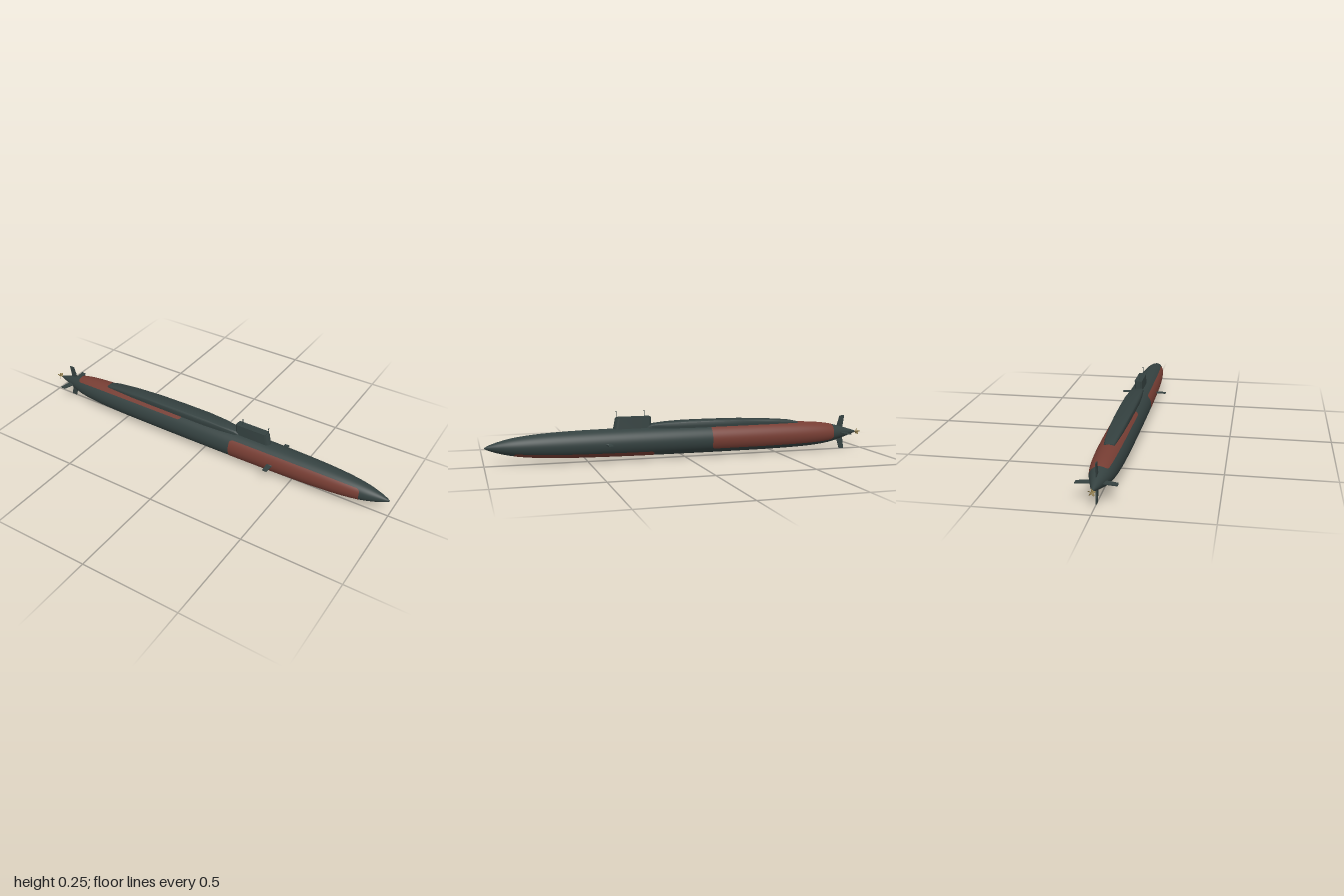
import * as THREE from 'three';
import { toCreasedNormals } from 'three/addons/utils/BufferGeometryUtils.js';

const AXIS = 0.09; // height of the hull centre line

const paint = (name, color, side = THREE.FrontSide) => {
  const m = new THREE.MeshStandardMaterial({ color, side });
  m.name = name;
  return m;
};

// Skin over rows of [x, y, z] points; rows run along +x, columns from +z over the top
function loft(rows, closed) {
  const n = rows[0].length, cols = closed ? n : n - 1, index = [];
  for (let i = 0; i < rows.length - 1; i++) {
    for (let j = 0; j < cols; j++) {
      const k = (j + 1) % n;
      const a = i * n + j, b = i * n + k, c = a + n, d = b + n;
      index.push(a, c, b, b, c, d);
    }
  }
  const g = new THREE.BufferGeometry();
  g.setAttribute('position', new THREE.Float32BufferAttribute(rows.flat(2), 3));
  g.setIndex(index);
  g.computeVertexNormals();
  return g;
}

// Hull outline: station and radius
const outline = new THREE.SplineCurve([
  [-0.965, 0.004], [-0.9, 0.025], [-0.8, 0.051], [-0.68, 0.064], [-0.5, 0.07], [-0.25, 0.072],
  [0.1, 0.072], [0.4, 0.0695], [0.6, 0.065], [0.75, 0.057], [0.86, 0.044], [0.93, 0.028],
  [0.975, 0.013], [0.993, 0.004], [0.997, 0],
].map(([x, r]) => new THREE.Vector2(x, r))).getPoints(140);

function radiusAt(x) {
  const i = Math.max(1, outline.findIndex((p) => p.x >= x));
  const a = outline[i - 1], b = outline[i];
  return a.y + (b.y - a.y) * (x - a.x) / (b.x - a.x);
}

const ringPoint = (x, r, a) => [x, AXIS + r * Math.sin(a), r * Math.cos(a)];

function hullGeometry() {
  const rows = outline.map((p) =>
    Array.from({ length: 64 }, (_, j) => ringPoint(p.x, Math.max(p.y, 0), j / 64 * Math.PI * 2)));
  return loft(rows, true);
}

// Painted area lying on the hull, with rounded corners; angles in degrees from +z upward
function patchGeometry(x0, x1, deg0, deg1) {
  const rows = [], corner = 0.018;
  for (let i = 0; i <= 70; i++) {
    const x = x0 + (x1 - x0) * (1 - Math.cos(Math.PI * i / 70)) / 2;
    const r = radiusAt(x) + 0.0007;
    const d = Math.max(0, corner - Math.min(x - x0, x1 - x));
    const trim = (corner - Math.sqrt(Math.max(0, corner * corner - d * d))) / r;
    const a0 = THREE.MathUtils.degToRad(deg0) + trim;
    const a1 = THREE.MathUtils.degToRad(deg1) - trim;
    rows.push(Array.from({ length: 41 }, (_, j) => ringPoint(x, r, a0 + (a1 - a0) * j / 40)));
  }
  return loft(rows, false);
}

// Raised deck casing: station, half width, top height
function casingGeometry() {
  const rows = [
    [-0.62, 0.024, 0.159], [-0.57, 0.029, 0.169], [-0.45, 0.035, 0.178], [-0.3, 0.038, 0.185],
    [-0.15, 0.039, 0.187], [0, 0.039, 0.187], [0.1, 0.035, 0.183], [0.18, 0.028, 0.176],
    [0.2, 0.021, 0.165],
  ].map(([x, w, top]) => {
    const half = [[w * 0.88, 0.135], [w, Math.min(0.162, top - 0.008)], [w, top - 0.007],
      [w - 0.002, top - 0.003], [w - 0.007, top]];
    return [...half.map(([z, y]) => [x, y, z]), ...half.reverse().map(([z, y]) => [x, y, -z])];
  });
  const cap = (row) => row.map(() => [row[0][0], 0.145, 0]);
  return toCreasedNormals(loft([cap(rows[0]), ...rows, cap(rows[rows.length - 1])], false), 0.6);
}

// Extruded plan of the sail, narrowing upward, with a sloping front
function sailGeometry() {
  const s = new THREE.Shape();
  s.moveTo(0.19, 0.02);
  s.lineTo(0.35, 0.02);
  s.quadraticCurveTo(0.372, 0.018, 0.375, 0);
  s.quadraticCurveTo(0.372, -0.018, 0.35, -0.02);
  s.lineTo(0.19, -0.02);
  s.lineTo(0.18, -0.012);
  s.lineTo(0.18, 0.012);
  const h = 0.07;
  const g = new THREE.ExtrudeGeometry(s, { depth: h, bevelEnabled: false, curveSegments: 8 });
  g.rotateX(-Math.PI / 2);
  const p = g.attributes.position;
  for (let i = 0; i < p.count; i++) {
    const t = p.getY(i) / h;
    p.setX(i, 0.18 + (p.getX(i) - 0.18) * (1 - 0.07 * t));
    p.setZ(i, p.getZ(i) * (1 - 0.1 * t));
  }
  g.translate(0, 0.143, 0);
  return toCreasedNormals(g, 0.6);
}

// Thin swept blade standing on y from the centre line: [x, y] corners
function finGeometry(corners, thickness) {
  const shape = new THREE.Shape(corners.map(([x, y]) => new THREE.Vector2(x, y)));
  return new THREE.ExtrudeGeometry(shape, { depth: thickness, bevelEnabled: false })
    .translate(0, 0, -thickness / 2);
}

export function createModel() {
  const model = new THREE.Group();
  model.name = 'submarine';
  const dark = paint('hullGrey', 0x344140);
  const red = paint('primerRed', 0x763d33);
  const brass = paint('brass', 0x8f7c4c, THREE.DoubleSide);

  const add = (name, geometry, material, x = 0, y = 0, z = 0, parent = model) => {
    const mesh = new THREE.Mesh(geometry, material);
    mesh.name = name;
    mesh.position.set(x, y, z);
    parent.add(mesh);
    return mesh;
  };

  // Hull and its painted areas
  add('hull', hullGeometry(), dark);
  add('bowPaint', patchGeometry(0.17, 0.86, -140, 44), red);
  add('sternPaint', patchGeometry(-0.82, -0.13, 44, 220), red);

  // Deck casing, sail and masts
  add('deckCasing', casingGeometry(), dark);
  add('sail', sailGeometry(), dark);
  add('sailRoof', new THREE.BoxGeometry(0.165, 0.003, 0.04), dark, 0.266, 0.214, 0);
  for (const x of [0.212, 0.355]) {
    add('mast', new THREE.CylinderGeometry(0.0015, 0.0015, 0.05, 8), dark, x, 0.22, 0);
    add('mastHead', new THREE.CylinderGeometry(0.003, 0.003, 0.005, 8), dark, x, 0.245, 0);
  }

  // Bow planes
  for (const s of [1, -1]) {
    const plane = add('bowPlane', finGeometry([[0.39, 0.05], [0.419, 0.05], [0.416, 0.12], [0.393, 0.12]], 0.004),
      dark, 0, AXIS, 0);
    plane.rotation.x = s * Math.PI / 2;
    const root = add('bowPlaneRoot', new THREE.SphereGeometry(1, 16, 10), dark, 0.405, AXIS, s * 0.068);
    root.scale.set(0.017, 0.005, 0.007);
  }

  // Cross of stern planes and rudders
  for (let i = 0; i < 4; i++) {
    const fin = add(i % 2 ? 'sternPlane' : 'rudder',
      finGeometry([[-0.888, 0.01], [-0.853, 0.01], [-0.862, 0.05], [-0.874, 0.09], [-0.9, 0.09]], 0.005),
      dark, 0, AXIS, 0);
    fin.rotation.x = i * Math.PI / 2;
  }

  // Propeller
  const propeller = new THREE.Group();
  propeller.name = 'propeller';
  propeller.position.set(-0.98, AXIS, 0);
  model.add(propeller);
  const hub = add('propellerHub', new THREE.CylinderGeometry(0.0045, 0.002, 0.036, 12), brass, -0.002, 0, 0, propeller);
  hub.rotation.z = -Math.PI / 2;
  for (let i = 0; i < 5; i++) {
    const arm = new THREE.Group();
    arm.name = 'propellerBlade';
    arm.rotation.x = i * Math.PI * 2 / 5;
    propeller.add(arm);
    const blade = add('blade', new THREE.SphereGeometry(1, 10, 8), brass, 0, 0.01, 0, arm);
    blade.scale.set(0.005, 0.008, 0.001);
    blade.rotation.y = 0.8;
  }
  return model;
}
